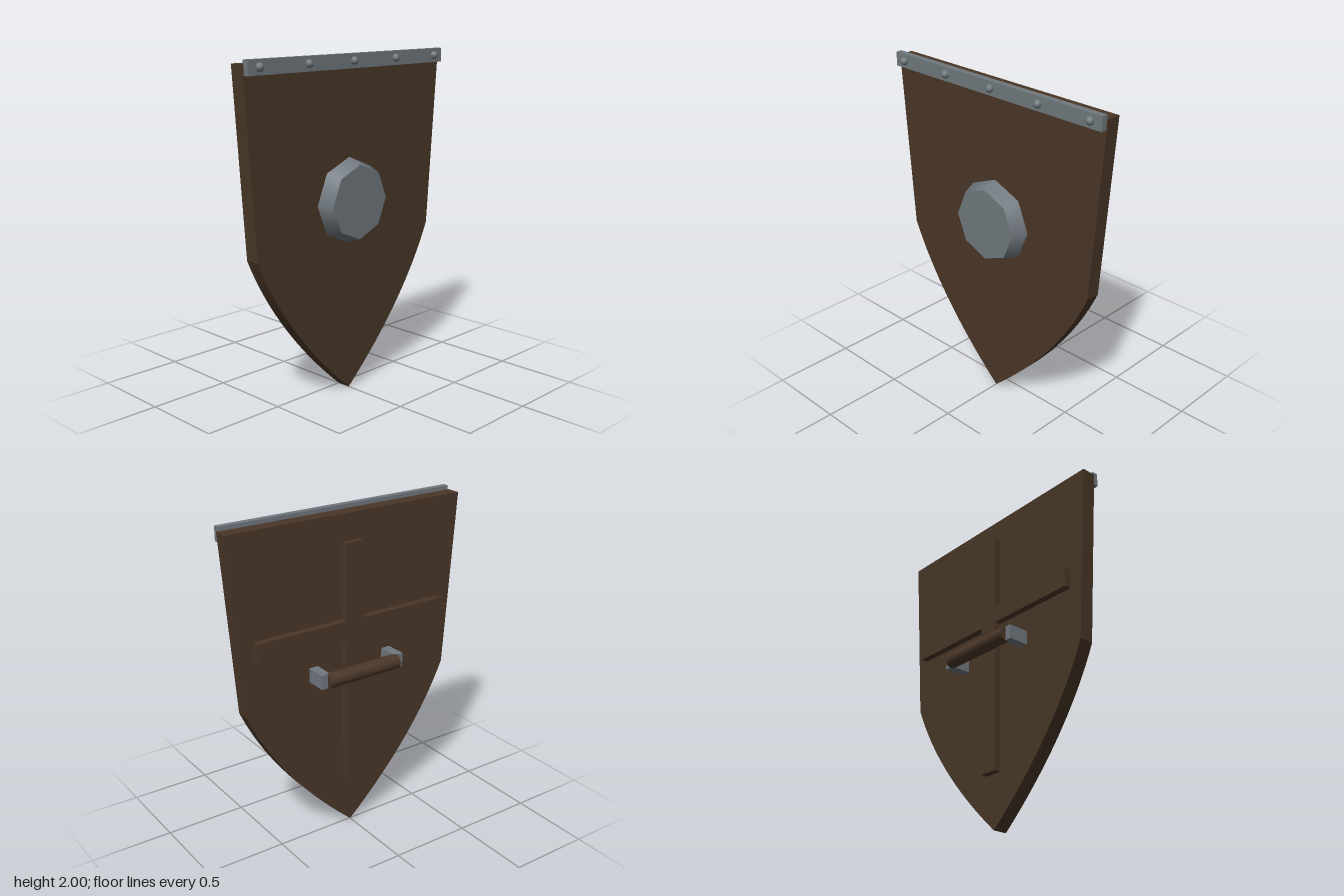
import * as THREE from 'three';

export function createModel() {
  const model = new THREE.Group();
  model.name = 'shield';
  const wood = new THREE.MeshStandardMaterial({ name: 'dark wood', color: 0x4a3728 });
  const steel = new THREE.MeshStandardMaterial({ name: 'steel', color: 0x70787e });

  const add = (name, geometry, material, x = 0, y = 0, z = 0) => {
    const mesh = new THREE.Mesh(geometry, material);
    mesh.name = name;
    mesh.position.set(x, y, z);
    model.add(mesh);
    return mesh;
  };
  const slab = (shape, depth) =>
    new THREE.ExtrudeGeometry(shape, { depth, bevelEnabled: false, curveSegments: 16 });

  // Heater-shaped board: tapering sides, curved down to a point
  const outline = new THREE.Shape();
  outline.moveTo(0, 0.005);
  outline.quadraticCurveTo(0.5, 0.45, 0.7, 0.915);
  outline.lineTo(0.778, 1.976);
  outline.lineTo(-0.778, 1.976);
  outline.lineTo(-0.7, 0.915);
  outline.quadraticCurveTo(-0.5, 0.45, 0, 0.005);
  add('board', slab(outline, 0.089), wood, 0, 0, -0.005);

  // Cross-shaped brace on the back
  const w = 0.06, arm = 0.642, top = 1.82, bottom = 0.325, high = 1.362, low = 1.245;
  const cross = new THREE.Shape([
    [-w, bottom], [w, bottom], [w, low], [arm, low], [arm, high], [w, high],
    [w, top], [-w, top], [-w, high], [-arm, high], [-arm, low], [-w, low],
  ].map(([x, y]) => new THREE.Vector2(x, y)));
  add('backBrace', slab(cross, 0.043), wood, 0, 0, -0.05);

  // Riveted band along the top of the front
  add('topBand', new THREE.BoxGeometry(1.54, 0.083, 0.038), steel, 0, 1.9585, 0.099);
  for (let i = -2; i <= 2; i++) {
    add('rivet', new THREE.SphereGeometry(0.024, 12, 8), steel, i * 0.3475, 1.96, 0.123);
  }

  // Eight-sided boss
  const boss = add('boss', new THREE.CylinderGeometry(0.218, 0.255, 0.093, 8), steel, 0, 1.16, 0.1265);
  boss.rotation.x = Math.PI / 2;

  // Hand grip between two brackets
  const grip = add('grip', new THREE.CylinderGeometry(0.045, 0.045, 0.49, 16), wood, 0, 1.07, -0.128);
  grip.rotation.z = Math.PI / 2;
  for (const side of [-1, 1]) {
    add('gripBracket', new THREE.BoxGeometry(0.058, 0.086, 0.13), steel, side * 0.256, 1.071, -0.07);
  }
  return model;
}
